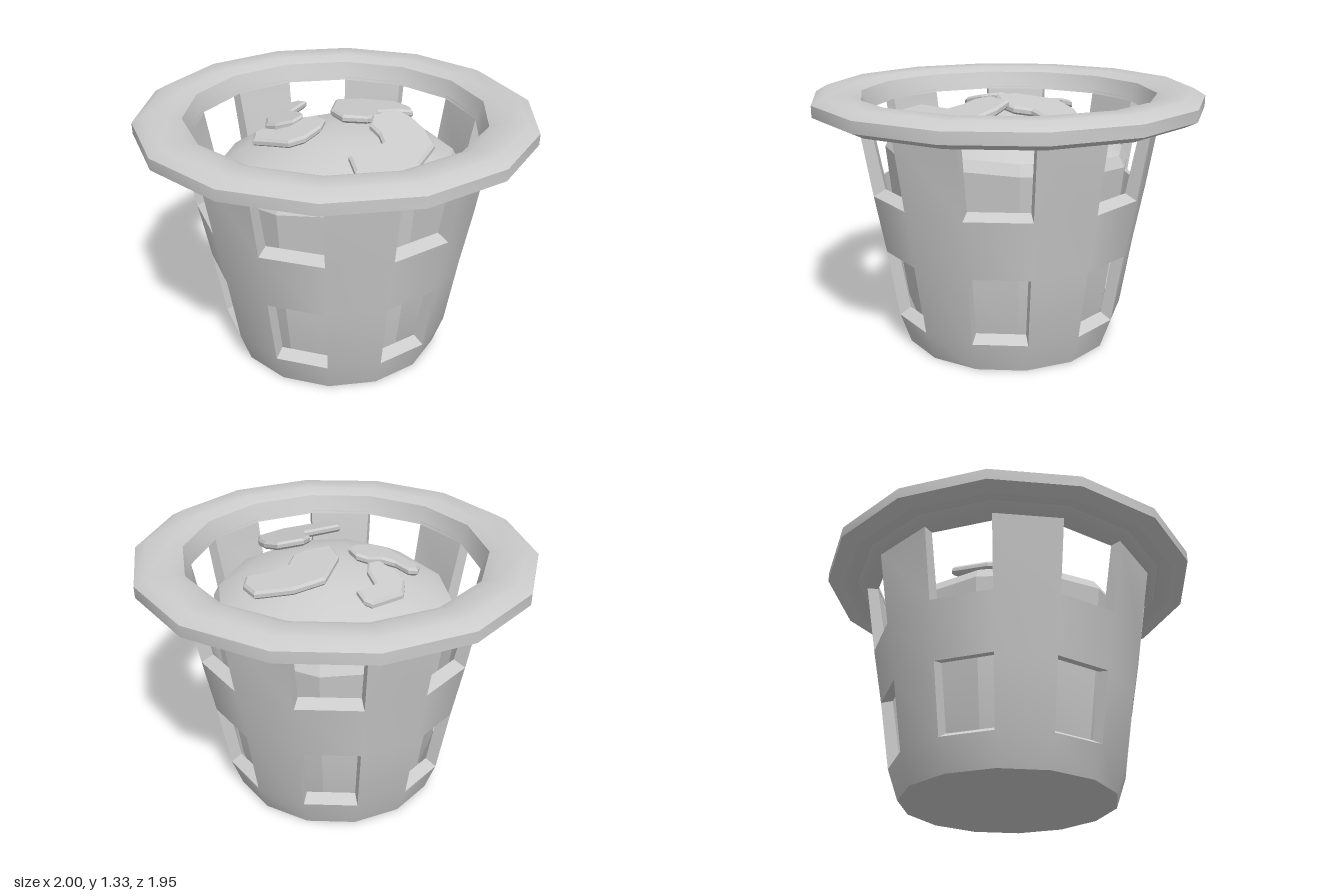
import * as THREE from 'three';
import { toCreasedNormals } from 'three/addons/utils/BufferGeometryUtils.js';

const SIDES = 14;
const grey = () => new THREE.MeshStandardMaterial({ color: 0xcccccc });

function addMesh(group, name, geometry) {
  const mesh = new THREE.Mesh(geometry, grey());
  mesh.name = name;
  group.add(mesh);
}

// Basket wall: double shell of facets, every second facet open in two bands
function basketGeometry() {
  const outer = [[0.555, 0], [0.61, 0.16], [0.667, 0.52], [0.722, 0.82], [0.787, 1.22]];
  const inner = [[0.5, 0.08], [0.552, 0.195], [0.607, 0.535], [0.66, 0.85], [0.73, 1.22]];
  const pos = [];
  const at = ([r, y], k) => {
    const a = (k / SIDES) * Math.PI * 2;
    return [r * Math.cos(a), y, r * Math.sin(a)];
  };
  const tri = (a, b, c) => pos.push(...a, ...b, ...c);
  const quad = (a, b, c, d) => { tri(a, b, c); tri(a, c, d); };

  for (let k = 0; k < SIDES; k++) {
    const n = k + 1;
    for (let j = 0; j < 4; j++) {
      const [o0, o1, i0, i1] = [outer[j], outer[j + 1], inner[j], inner[j + 1]];
      if (k % 2 === 1 && j % 2 === 1) {
        // window: two jambs, sill and head
        quad(at(o0, k), at(o1, k), at(i1, k), at(i0, k));
        quad(at(i0, n), at(i1, n), at(o1, n), at(o0, n));
        quad(at(i0, k), at(i0, n), at(o0, n), at(o0, k));
        if (j === 1) quad(at(o1, k), at(o1, n), at(i1, n), at(i1, k));
      } else {
        quad(at(o0, k), at(o1, k), at(o1, n), at(o0, n));
        quad(at(i0, n), at(i1, n), at(i1, k), at(i0, k));
      }
    }
    // underside and inner floor
    tri([0, 0, 0], at(outer[0], k), at(outer[0], n));
    tri([0, 0.08, 0], at(inner[0], n), at(inner[0], k));
  }
  const g = new THREE.BufferGeometry();
  g.setAttribute('position', new THREE.Float32BufferAttribute(pos, 3));
  return toCreasedNormals(g, 0.6);
}

function lathe(points, sides) {
  return new THREE.LatheGeometry(points.map(([x, y]) => new THREE.Vector2(x, y)), sides);
}

// Soil plug with a low dome that leans slightly to the back
function soilGeometry() {
  const g = lathe([[0, 0.1], [0.51, 0.1], [0.54, 0.2], [0.585, 0.52], [0.635, 0.99],
    [0.605, 1.045], [0.48, 1.12], [0.26, 1.195], [0, 1.23]], 12);
  const p = g.attributes.position;
  for (let i = 0; i < p.count; i++) {
    if (p.getY(i) > 0.9) p.setY(i, p.getY(i) + 0.07 * p.getZ(i));
  }
  return toCreasedNormals(g, 0.35);
}

// Flat bevelled flake: outline in x and z, laid on the plane y = h + sx*x + sz*z
function flakeGeometry(outline, [h, sx, sz]) {
  const bevel = 0.012;
  const shape = new THREE.Shape(outline.map(([x, z]) => new THREE.Vector2(x, -z)));
  const g = new THREE.ExtrudeGeometry(shape, {
    depth: 0.018, bevelEnabled: true, bevelSegments: 1,
    bevelThickness: bevel, bevelSize: bevel, bevelOffset: -bevel,
  });
  g.rotateX(-Math.PI / 2);
  const p = g.attributes.position;
  for (let i = 0; i < p.count; i++) {
    p.setY(i, p.getY(i) + bevel + h + sx * p.getX(i) + sz * p.getZ(i));
  }
  g.computeVertexNormals();
  return g;
}

const FLAKES = {
  leftFlake: {
    plane: [1.25, -0.17, 0.02],
    outline: [[0.14, -0.21], [0.3, -0.2], [0.47, -0.12], [0.488, -0.01], [0.45, 0.06], [0.35, 0.03],
      [0.245, 0.03], [0.19, 0.1], [0.11, 0.115], [-0.01, 0.07], [0.0, -0.05]],
  },
  backFlake: {
    plane: [1.274, 0.2, 0.25],
    outline: [[-0.005, -0.43], [0.03, -0.4], [0.035, -0.33], [-0.085, -0.28], [-0.09, -0.18],
      [-0.12, -0.12], [-0.19, -0.1], [-0.25, -0.18], [-0.26, -0.26], [-0.2, -0.36]],
  },
  rightFlake: {
    plane: [1.263, 0.25, 0.05],
    outline: [[-0.315, -0.19], [-0.28, -0.11], [-0.225, -0.075], [-0.14, -0.085], [-0.09, -0.05],
      [-0.085, 0.03], [-0.14, 0.075], [-0.245, 0.095], [-0.32, 0.06], [-0.37, -0.05],
      [-0.41, -0.13], [-0.37, -0.185]],
  },
  frontFlake: {
    plane: [1.31, 0, -0.26],
    outline: [[0.1, 0.165], [0.245, 0.165], [0.283, 0.26], [0.28, 0.36], [0.245, 0.475], [0.07, 0.57],
      [-0.18, 0.575], [-0.24, 0.5], [-0.2, 0.39], [0.015, 0.365], [0.04, 0.3], [0.04, 0.225]],
  },
};

export function createModel() {
  const pot = new THREE.Group();
  pot.name = 'basketPot';
  addMesh(pot, 'basketWall', basketGeometry());

  // Wide rounded rim with a shallow groove underneath
  const rim = lathe([[0.725, 1.205], [0.79, 1.205], [0.84, 1.24], [0.9, 1.235], [0.94, 1.205],
    [1, 1.235], [1, 1.292], [0.94, 1.327], [0.82, 1.325], [0.76, 1.3], [0.725, 1.205]], SIDES);
  rim.rotateY(Math.PI / 2);
  addMesh(pot, 'rim', toCreasedNormals(rim, 0.7));

  addMesh(pot, 'soil', soilGeometry());
  for (const [name, { outline, plane }] of Object.entries(FLAKES)) {
    addMesh(pot, name, flakeGeometry(outline, plane));
  }
  return pot;
}
